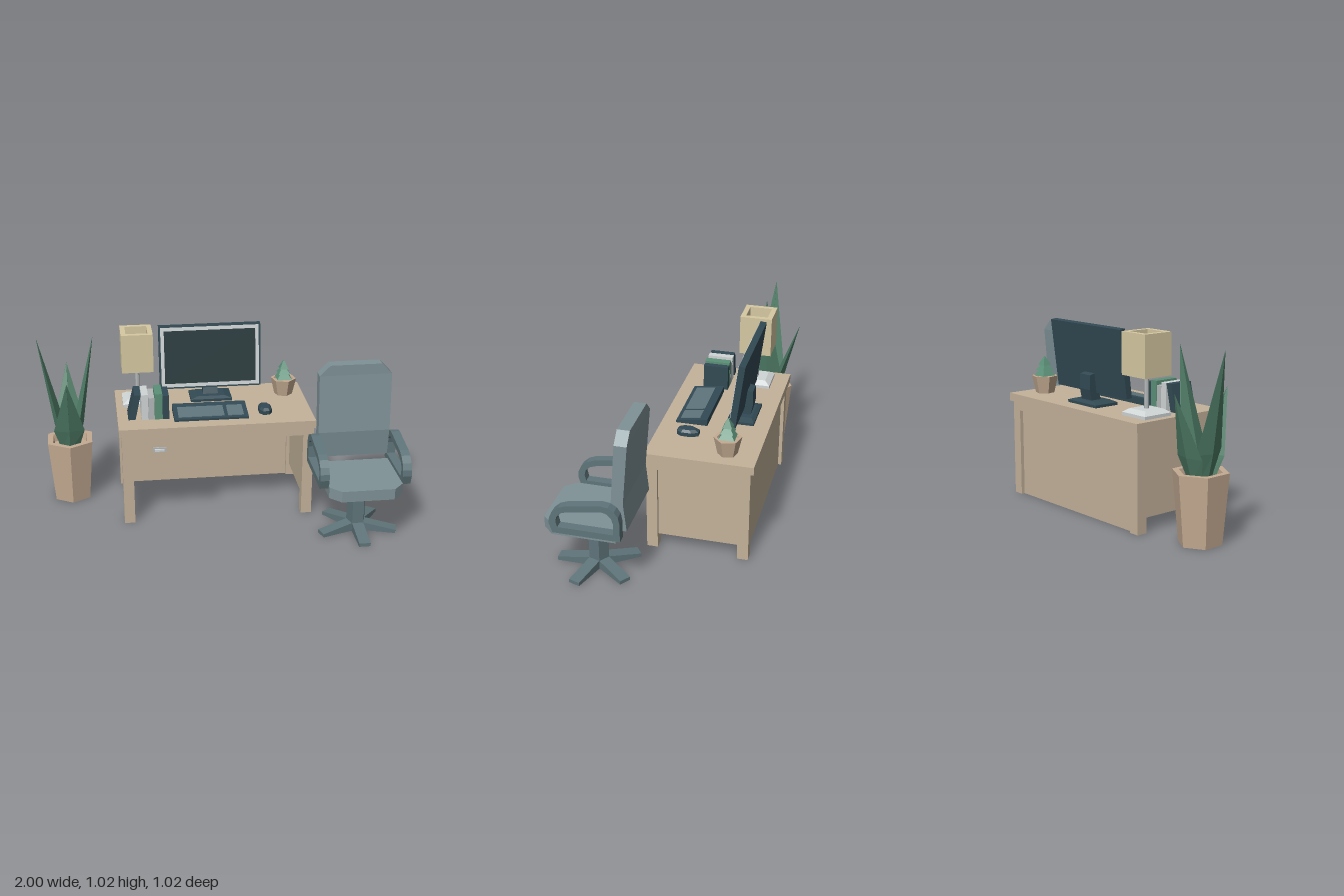
import * as THREE from 'three';

const mat = (color) => new THREE.MeshStandardMaterial({ color, flatShading: true });
const M = {
  wood: mat(0xc4b29a), pot: mat(0xc4ab92), leaf: mat(0x4f7d67), tree: mat(0x5b9078),
  cushion: mat(0x7f9297), frame: mat(0x5f757a), dark: mat(0x324a54), screen: mat(0x283a3d),
  lamp: mat(0xd6c9a2), light: mat(0xd0d5d6), key: mat(0x5f757c), grey: mat(0xb4b8b8),
};

function add(parent, name, geometry, material) {
  const mesh = new THREE.Mesh(geometry, material);
  mesh.name = name;
  parent.add(mesh);
  return mesh;
}

function group(parent, name, x = 0, y = 0, z = 0) {
  const g = new THREE.Group();
  g.name = name;
  g.position.set(x, y, z);
  parent.add(g);
  return g;
}

// Box given by its limits on each axis
function box(parent, name, [x0, x1], [y0, y1], [z0, z1], material) {
  const g = new THREE.BoxGeometry(x1 - x0, y1 - y0, z1 - z0);
  g.translate((x0 + x1) / 2, (y0 + y1) / 2, (z0 + z1) / 2);
  return add(parent, name, g, material);
}

// Solid through rings of equal length, each counter-clockwise seen from the last ring's side
function loft(rings) {
  const n = rings[0].length, last = (rings.length - 1) * n, index = [];
  for (let k = 0; k < rings.length - 1; k++) {
    for (let i = 0; i < n; i++) {
      const a = k * n + i, b = k * n + (i + 1) % n;
      index.push(a, b, b + n, a, b + n, a + n);
    }
  }
  for (let i = 1; i < n - 1; i++) index.push(0, i + 1, i, last, last + i, last + i + 1);
  const g = new THREE.BufferGeometry();
  g.setAttribute('position', new THREE.Float32BufferAttribute(rings.flat(2), 3));
  g.setIndex(index);
  const flat = g.toNonIndexed();
  flat.computeVertexNormals();
  return flat;
}

const rect = (y, x0, x1, z0, z1) => [[x0, y, z1], [x1, y, z1], [x1, y, z0], [x0, y, z0]];
const square = (y, h) => rect(y, -h, h, -h, h);
const toShape = (pts) => new THREE.Shape(pts.map(([a, b]) => new THREE.Vector2(a, b)));

// Side profile of (z, y) points swept from x0 to x1
function sideProfile(pts, x0, x1, hole) {
  const s = toShape(pts);
  if (hole) s.holes.push(toShape(hole));
  const g = new THREE.ExtrudeGeometry(s, { depth: x1 - x0, bevelEnabled: false });
  return g.rotateY(-Math.PI / 2).translate(x1, 0, 0);
}

// Six-sided hollow pot
function pot(parent, rBottom, rTop, h, wall) {
  const pts = [[0, 0], [rBottom, 0], [rTop, h], [rTop - wall, h], [rTop - wall * 1.2, h * 0.88], [0, h * 0.88]];
  return add(parent, 'pot', new THREE.LatheGeometry(pts.map(([r, y]) => new THREE.Vector2(r, y)), 6), M.pot);
}

function buildDesk(root) {
  const desk = group(root, 'desk');
  box(desk, 'deskTop', [-0.565, 0.54], [0.54, 0.585], [-0.508, 0.08], M.wood);
  for (const x of [-0.55, 0.47]) {
    for (const z of [-0.49, 0.01]) box(desk, 'deskLeg', [x, x + 0.06], [0, 0.54], [z, z + 0.06], M.wood);
    box(desk, 'sideRail', [x, x + 0.06], [0.49, 0.54], [-0.43, 0.01], M.wood);
    box(desk, 'sidePanel', [x + 0.02, x + 0.04], [0.075, 0.49], [-0.43, 0.01], M.wood);
  }
  box(desk, 'frontRail', [-0.49, 0.47], [0.495, 0.54], [0.01, 0.07], M.wood);
  box(desk, 'backRail', [-0.49, 0.47], [0.49, 0.54], [-0.49, -0.43], M.wood);
  box(desk, 'backPanel', [-0.49, 0.47], [0, 0.49], [-0.47, -0.45], M.wood);
  box(desk, 'drawer', [-0.49, -0.15], [0.375, 0.495], [-0.45, 0.07], M.wood);
  box(desk, 'drawerHandle', [-0.38, -0.305], [0.44, 0.468], [0.07, 0.078], M.grey);
  box(desk, 'drawerPull', [-0.37, -0.315], [0.448, 0.46], [0.078, 0.088], M.light);
}

function buildMonitor(root) {
  const monitor = group(root, 'monitor', -0.01, 0, 0);
  const panel = group(monitor, 'display', 0, 0.655, -0.318);
  panel.rotation.x = -0.125;
  box(panel, 'displayBody', [-0.295, 0.295], [0, 0.372], [-0.035, 0], M.dark);
  const bezel = toShape([[-0.285, 0.01], [0.285, 0.01], [0.285, 0.362], [-0.285, 0.362]]);
  bezel.holes.push(toShape([[-0.265, 0.03], [-0.265, 0.342], [0.265, 0.342], [0.265, 0.03]]));
  add(panel, 'bezel', new THREE.ExtrudeGeometry(bezel, { depth: 0.004, bevelEnabled: false }), M.light);
  box(panel, 'screen', [-0.265, 0.265], [0.03, 0.342], [0, 0.002], M.screen);
  const neck = [[-0.32, 0.605], [-0.385, 0.605], [-0.398, 0.67], [-0.395, 0.75], [-0.36, 0.76], [-0.34, 0.66]];
  add(monitor, 'neck', sideProfile(neck, -0.043, 0.043), M.dark);
  add(monitor, 'standBase', loft([rect(0.585, -0.12, 0.12, -0.42, -0.27), rect(0.6, -0.12, 0.12, -0.42, -0.27),
    rect(0.612, -0.08, 0.08, -0.4, -0.29)]), M.dark);
}

function buildDeskItems(root) {
  // Keyboard: a wedge with two raised key fields on its slope
  const keyboard = group(root, 'keyboard');
  const wedge = (y0, y1, z0, z1) => [[z1, y0], [z1, 0.597 - z1 * 0.14 + y1], [z0, 0.597 - z0 * 0.14 + y1], [z0, y0]];
  add(keyboard, 'keyboardBody', sideProfile(wedge(0.585, 0, -0.175, 0), -0.25, 0.17), M.dark);
  for (const [x0, x1] of [[-0.225, 0.035], [0.055, 0.145]])
    add(keyboard, 'keys', sideProfile(wedge(0.59, 0.003, -0.13, -0.02), x0, x1), M.key);

  // Mouse: chamfered pebble
  const pebble = (y, s) => [[-0.5, 0.7], [0.5, 0.7], [1, 0.3], [1, -0.5], [0.5, -1], [-0.5, -1], [-1, -0.5], [-1, 0.3]]
    .map(([a, b]) => [0.275 + a * 0.036 * s, y, -0.085 + b * 0.07 * s]);
  add(root, 'mouse', loft([pebble(0.585, 1), pebble(0.607, 1), pebble(0.62, 0.7)]), M.dark);

  // Books, the first one leaning
  const books = group(root, 'books');
  const upright = [[-0.43, -0.392, 0.735, M.light], [-0.39, -0.357, 0.715, M.grey],
    [-0.355, -0.312, 0.737, M.tree], [-0.31, -0.275, 0.725, M.dark]];
  upright.forEach(([x0, x1, top, m]) => box(books, 'book', [x0, x1], [0.585, top], [-0.19, -0.048], m));
  add(books, 'leaningBook', loft([rect(0.587, -0.505, -0.465, -0.19, -0.05), rect(0.735, -0.468, -0.432, -0.19, -0.05)]), M.dark);

  // Lamp with an open square shade
  const lamp = group(root, 'lamp', -0.435, 0, -0.33);
  add(lamp, 'lampBase', loft([square(0.585, 0.09), square(0.602, 0.09), square(0.622, 0.06)]), M.light);
  add(lamp, 'lampPole', new THREE.CylinderGeometry(0.012, 0.012, 0.25, 8).translate(0, 0.74, 0), M.grey);
  const sq = (h) => [[-h, -h], [h, -h], [h, h], [-h, h]];
  const shade = toShape(sq(0.09));
  shade.holes.push(toShape(sq(0.062).reverse()));
  add(lamp, 'lampShade', new THREE.ExtrudeGeometry(shade, { depth: 0.225, bevelEnabled: false })
    .rotateX(-Math.PI / 2).translate(0, 0.795, 0), M.lamp);

  // Small potted tree made of stacked pyramids
  const plant = group(root, 'smallPlant', 0.425, 0.585, -0.345);
  pot(plant, 0.053, 0.075, 0.097, 0.016).rotation.y = 0.25;
  [[0.098, 0.043, 0.06], [0.128, 0.035, 0.05], [0.158, 0.026, 0.048]].forEach(([y, h, tall]) =>
    add(plant, 'treeTier', loft([square(y, h), square(y + tall, 0.003)]), M.tree));
  add(plant, 'trunk', new THREE.CylinderGeometry(0.01, 0.01, 0.03, 5).translate(0, 0.09, 0), M.pot);
}

function buildBigPlant(root) {
  const plant = group(root, 'floorPlant', -0.84, 0, -0.33);
  pot(plant, 0.115, 0.148, 0.37, 0.035);
  // Ridged blades: radius from centre, height, half width, half thickness
  const blade = (rows) => loft(rows.map(([r, y, w, t]) => [[0, y, r + t], [w, y, r], [0, y, r - t], [-w, y, r]]));
  for (let i = 0; i < 4; i++) {
    const rows = i % 2
      ? [[0.03, 0.32, 0.045, 0.02], [0.055, 0.47, 0.085, 0.03], [0.157, 0.985, 0.001, 0.001]]
      : [[0.04, 0.32, 0.05, 0.02], [0.075, 0.45, 0.088, 0.025], [0.178, 0.775, 0.001, 0.001]];
    add(plant, 'leaf', blade(rows), M.leaf).rotation.y = i * Math.PI / 2;
  }
}

function buildChair(root) {
  const chair = group(root, 'chair', 0.747, 0, 0);
  // Five-legged foot and column
  const foot = group(chair, 'foot', 0, 0, 0.272);
  const leg = [[0, 0], [0.225, 0], [0.225, 0.02], [0.04, 0.05], [0, 0.05]];
  for (let i = 0; i < 5; i++)
    add(foot, 'footLeg', sideProfile(leg, -0.032, 0.032), M.frame).rotation.y = i * Math.PI * 2 / 5;
  add(foot, 'column', new THREE.CylinderGeometry(0.055, 0.055, 0.29, 5).rotateY(Math.PI).translate(0, 0.15, 0), M.frame);

  // Seat with chamfered front corners
  const seat = (y, back) => [[-0.203, 0.45], [-0.145, 0.51], [0.145, 0.51], [0.203, 0.45], [0.203, back], [-0.203, back]]
    .map(([x, z]) => [x, y, z]);
  add(chair, 'seat', loft([seat(0.29, 0.108), seat(0.353, 0.13)]), M.cushion);

  // Bent backrest: height, back z, front z, half width
  const rows = [[0.373, 0.05, 0.107, 0.203], [0.53, 0.066, 0.129, 0.203], [0.86, 0.038, 0.104, 0.203], [0.92, 0.038, 0.104, 0.145]];
  add(chair, 'backrest', loft(rows.map(([y, z0, z1, w]) => rect(y, -w, w, z0, z1))), M.cushion);

  // Looped armrests
  const outer = [[0.427, 0.337], [0.444, 0.39], [0.441, 0.425], [0.425, 0.46], [0.39, 0.49], [0.35, 0.505], [0.165, 0.534],
    [0.13, 0.529], [0.098, 0.51], [0.078, 0.48], [0.071, 0.44], [0.071, 0.337]];
  const inner = [[0.4, 0.373], [0.408, 0.408], [0.4, 0.436], [0.378, 0.459], [0.345, 0.471], [0.167, 0.5],
    [0.14, 0.494], [0.115, 0.472], [0.105, 0.44], [0.105, 0.373]];
  for (const x of [-0.252, 0.202]) add(chair, 'armrest', sideProfile(outer, x, x + 0.05, inner), M.frame);
}

export function createModel() {
  const root = new THREE.Group();
  root.name = 'officeDeskSet';
  buildDesk(root);
  buildMonitor(root);
  buildDeskItems(root);
  buildBigPlant(root);
  buildChair(root);
  return root;
}
